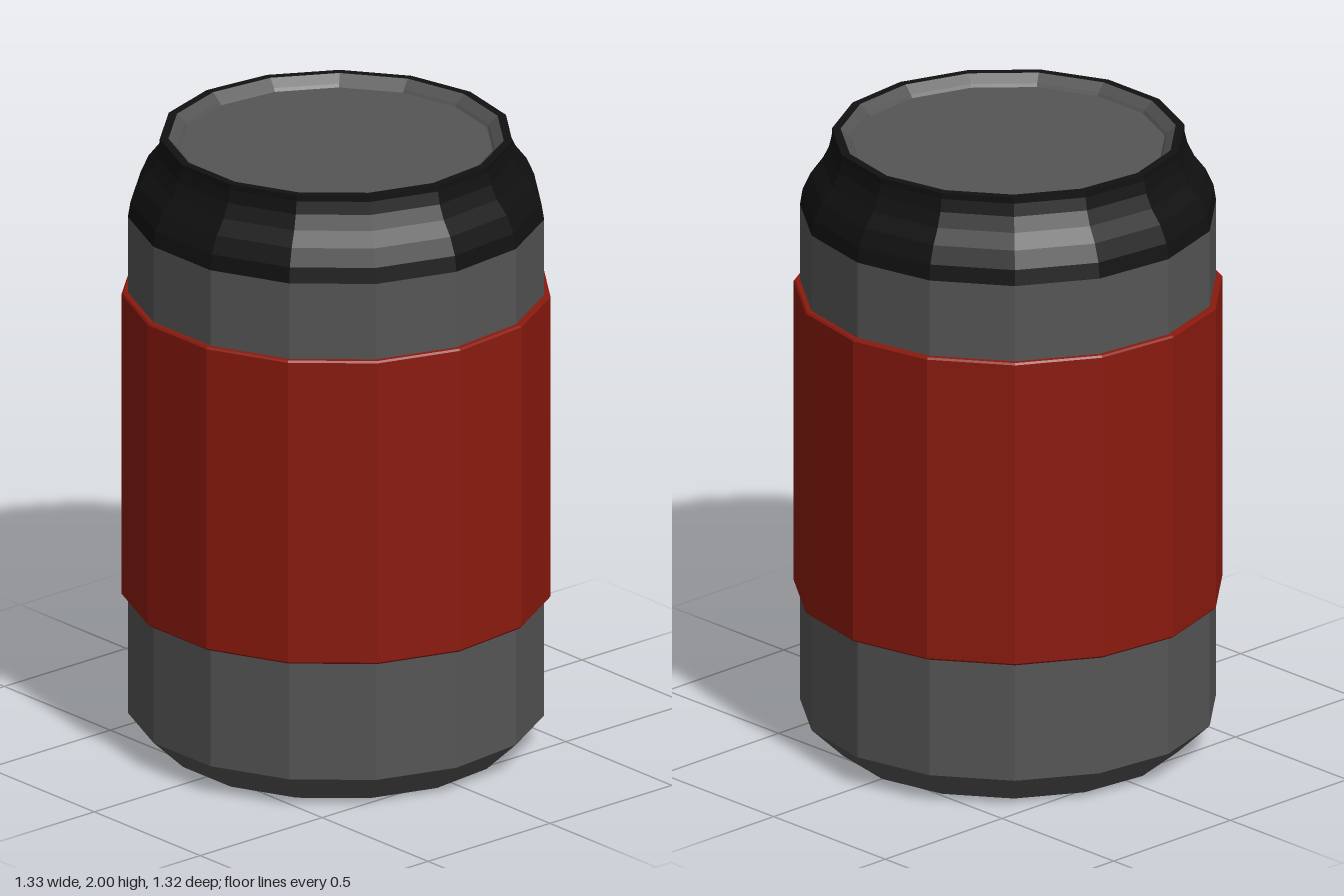
import * as THREE from 'three';

const SIDES = 15;

function material(color) {
  return new THREE.MeshStandardMaterial({ color, flatShading: true });
}

// Faceted ring from [radius, height] pairs; one corner points to the back
function turned(name, profile, mat) {
  const points = profile.map(([r, y]) => new THREE.Vector2(r, y));
  const mesh = new THREE.Mesh(new THREE.LatheGeometry(points, SIDES, Math.PI, Math.PI * 2), mat);
  mesh.name = name;
  return mesh;
}

export function createModel() {
  const can = new THREE.Group();
  can.name = 'can';
  const metal = material(0x555555);
  const black = material(0x111111);
  const red = material(0x8a1a0e);

  // Recessed base, foot rim, bevel and straight wall
  can.add(turned('body', [
    [0, 0.03], [0.49, 0.03], [0.515, 0], [0.543, 0], [0.648, 0.1], [0.648, 1.745],
  ], metal));

  // Curved shoulder, neck and flat top rim
  can.add(turned('shoulder', [
    [0.648, 1.745], [0.64, 1.795], [0.615, 1.85], [0.58, 1.895],
    [0.558, 1.94], [0.549, 1.98], [0.549, 2], [0.522, 2],
  ], black));

  // Sunken lid inside the rim
  can.add(turned('lid', [
    [0.522, 2], [0.495, 1.975], [0.488, 1.965], [0, 1.965],
  ], metal));

  // Band wrapped around the middle, closed at both edges
  can.add(turned('sleeve', [
    [0.645, 0.49], [0.663, 0.49], [0.668, 0.496],
    [0.668, 1.489], [0.663, 1.495], [0.645, 1.495],
  ], red));

  // Centre the odd-sided outline front to back
  can.children.forEach((part) => { part.position.z = 0.007; });
  return can;
}
